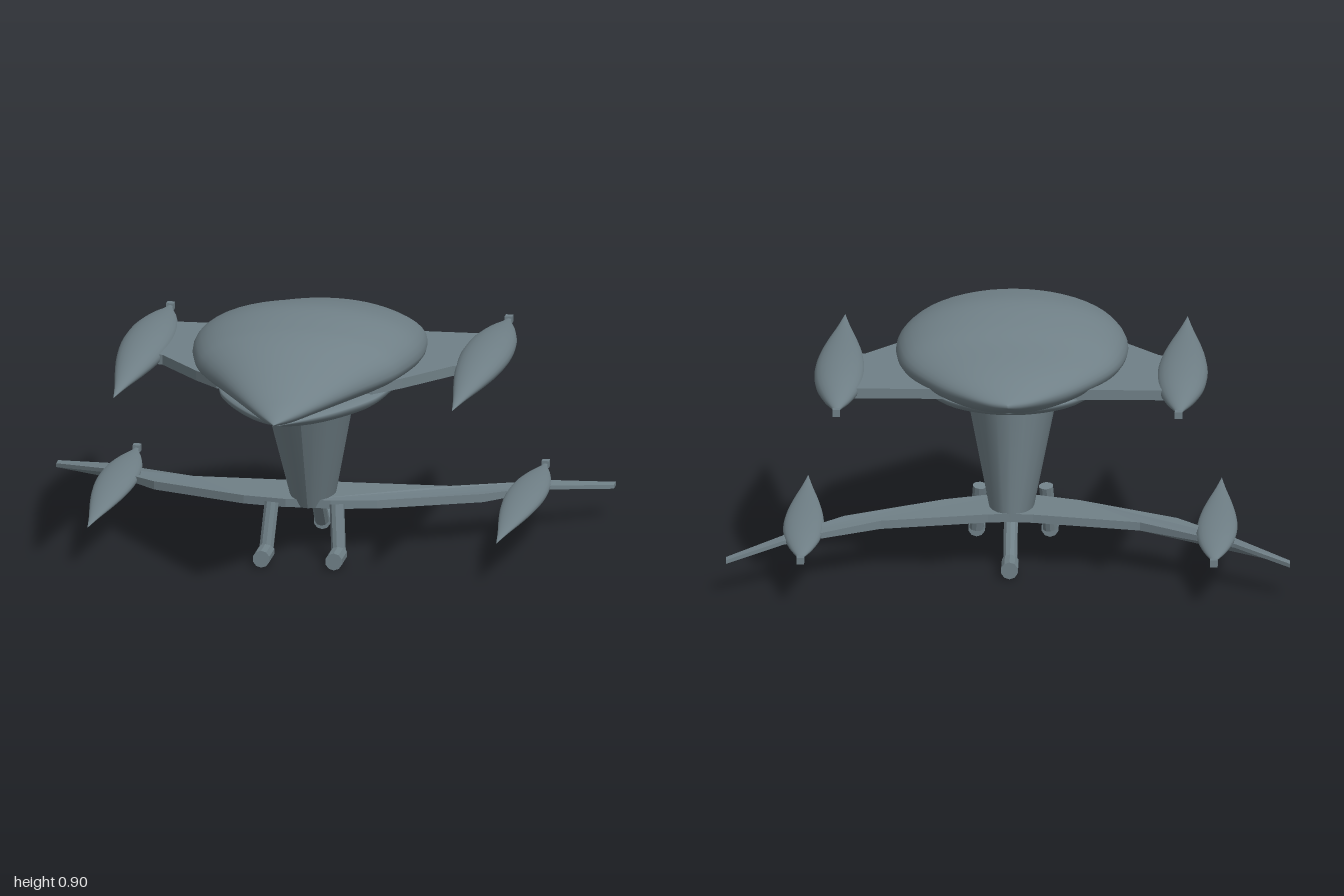
import * as THREE from 'three';

const slate = new THREE.MeshStandardMaterial({ color: 0x708087 });
slate.name = 'slate grey';

function add(parent, name, geometry) {
  const mesh = new THREE.Mesh(geometry, slate);
  mesh.name = name;
  parent.add(mesh);
  return mesh;
}

// Smooth body through stations [z, halfWidth, widestY, topY, bottomY], front to back
function loft(stations, steps = 40, sides = 40) {
  const curve = (f) => new THREE.CatmullRomCurve3(stations.map(f), false, 'catmullrom', 0.5);
  const plan = curve((s) => new THREE.Vector3(s[0], s[1], s[2]));
  const side = curve((s) => new THREE.Vector3(s[0], s[3], s[4]));
  const pos = [], index = [];
  for (let i = 0; i <= steps; i++) {
    const p = plan.getPoint(i / steps), q = side.getPoint(i / steps);
    for (let j = 0; j < sides; j++) {
      const a = (j / sides) * Math.PI * 2, s = Math.sin(a);
      const h = s > 0 ? q.y - p.z : p.z - q.z;
      pos.push(Math.max(p.y, 0) * Math.cos(a), p.z + Math.max(h, 0) * s, p.x);
      if (i < steps) {
        const k = (j + 1) % sides, r = i * sides, n = r + sides;
        index.push(r + j, n + j, r + k, n + j, n + k, r + k);
      }
    }
  }
  const g = new THREE.BufferGeometry();
  g.setAttribute('position', new THREE.Float32BufferAttribute(pos, 3));
  g.setIndex(index);
  g.computeVertexNormals();
  return g;
}

// Slim pod pointed at the front, with a small block at the tail
function pod(parent, name, x, y, front, back, halfW, halfH) {
  const profile = [[0, 0], [0.14, 0.27], [0.29, 0.6], [0.44, 0.87], [0.59, 1],
    [0.74, 0.9], [0.87, 0.56], [0.96, 0.2], [1, 0.1]];
  const g = loft(profile.map(([t, r]) =>
    [front + (back - front) * t, halfW * r, y, y + halfH * r, y - halfH * r]), 32, 24);
  add(parent, name, g.translate(x, 0, 0));
  add(parent, name + 'Tail', new THREE.BoxGeometry(0.027, 0.025, 0.03)).position.set(x, y, back - 0.004);
}

// Flat plate from [x, z] plan points; rise(x) gives the height of its middle, thick(x) its thickness
function plate(points, rise, thick) {
  const shape = new THREE.Shape(points.map(([x, z]) => new THREE.Vector2(x, -z)));
  const g = new THREE.ExtrudeGeometry(shape, { depth: 1, bevelEnabled: false });
  g.translate(0, 0, -0.5).rotateX(-Math.PI / 2);
  const p = g.attributes.position;
  for (let i = 0; i < p.count; i++) {
    p.setY(i, rise(p.getX(i)) + p.getY(i) * thick(p.getX(i)));
  }
  g.computeVertexNormals();
  return g;
}

// Faceted rod between two points
function rod(parent, name, a, b, radius) {
  const from = new THREE.Vector3(...a), to = new THREE.Vector3(...b);
  const g = new THREE.CylinderGeometry(radius, radius, from.distanceTo(to), 10).toNonIndexed();
  g.computeVertexNormals();
  const mesh = add(parent, name, g);
  mesh.position.copy(from).add(to).multiplyScalar(0.5);
  mesh.quaternion.setFromUnitVectors(new THREE.Vector3(0, 1, 0), to.sub(from).normalize());
}

function leg(parent, name, top, ankle, toeZ) {
  const group = new THREE.Group();
  group.name = name;
  parent.add(group);
  rod(group, name + 'Strut', top, ankle, 0.026);
  const heelZ = ankle[2];
  rod(group, name + 'Foot', [ankle[0], 0.034, heelZ], [ankle[0], 0.034, toeZ], 0.031);
}

export function createModel() {
  const model = new THREE.Group();
  model.name = 'spacecraft';

  // Main hull
  add(model, 'upperHull', loft([
    [0.79, 0, 0.67, 0.67, 0.67], [0.7, 0.065, 0.682, 0.708, 0.65],
    [0.6, 0.13, 0.695, 0.745, 0.643], [0.4, 0.26, 0.72, 0.83, 0.636],
    [0.3, 0.325, 0.73, 0.865, 0.634], [0.2, 0.372, 0.737, 0.885, 0.632],
    [0, 0.41, 0.74, 0.904, 0.63], [-0.2, 0.4, 0.738, 0.877, 0.63],
    [-0.35, 0.357, 0.733, 0.84, 0.633], [-0.5, 0.272, 0.726, 0.808, 0.64],
    [-0.6, 0.19, 0.72, 0.778, 0.652], [-0.69, 0.085, 0.713, 0.738, 0.682],
    [-0.73, 0, 0.71, 0.715, 0.705]], 60, 48));
  add(model, 'lowerHull', loft([
    [0.7, 0, 0.645, 0.65, 0.645], [0.5, 0.14, 0.635, 0.66, 0.595],
    [0.3, 0.245, 0.63, 0.66, 0.566], [0.15, 0.295, 0.63, 0.66, 0.556],
    [-0.1, 0.318, 0.63, 0.66, 0.56], [-0.3, 0.27, 0.635, 0.66, 0.575],
    [-0.45, 0.18, 0.642, 0.66, 0.605], [-0.6, 0, 0.65, 0.655, 0.648]]));

  // Tapering oval neck
  const neck = new THREE.CylinderGeometry(1, 1, 1, 20, 1);
  const p = neck.attributes.position;
  for (let i = 0; i < p.count; i++) {
    const t = p.getY(i) + 0.5, lerp = THREE.MathUtils.lerp;
    const front = lerp(0, 0.2, t), back = lerp(-0.28, -0.3, t);
    p.setXYZ(i, p.getX(i) * lerp(0.075, 0.166, t), lerp(0.165, 0.6, t),
      (front + back) / 2 + p.getZ(i) * (front - back) / 2);
  }
  neck.computeVertexNormals();
  add(model, 'neck', neck);

  // Wings and pods, mirrored left and right
  const upperPlan = [[0, -0.475], [0.62, -0.475], [0.62, -0.03], [0.52, 0], [0.37, 0.2], [0.28, 0.3], [0, 0.3]];
  const lowerPlan = [[0, -0.28], [0.08, -0.28], [0.46, -0.33], [0.8, -0.54], [1, -0.68],
    [1, -0.635], [0.8, -0.46], [0.59, -0.25], [0.24, -0.06], [0.08, -0.01], [0, -0.01]];
  const lowerRise = (x) => (x > 0.8 ? 0.155 - (x - 0.8) * 0.17 : 0.181 - x * 0.0325);
  const lowerThick = (x) => (x > 0.7 ? 0.014 : 0.03);
  for (const s of [1, -1]) {
    const side = s > 0 ? 'left' : 'right';
    const mirror = (points) => points.map(([x, z]) => [s * x, z]);
    add(model, side + 'UpperWing', plate(mirror(upperPlan), () => 0.688, () => 0.036));
    add(model, side + 'LowerWing', plate(mirror(lowerPlan),
      (x) => lowerRise(Math.abs(x)), (x) => lowerThick(Math.abs(x))));
    pod(model, side + 'UpperPod', s * 0.607, 0.692, 0.578, -0.742, 0.09, 0.05);
    pod(model, side + 'LowerPod', s * 0.733, 0.158, 0.367, -0.778, 0.072, 0.032);
    leg(model, side + 'FrontLeg', [s * 0.117, 0.203, 0.075], [s * 0.13, 0.036, 0.12], 0.236);
  }
  leg(model, 'rearLeg', [0, 0.18, -0.21], [0, 0.038, -0.335], -0.455);

  return model;
}
